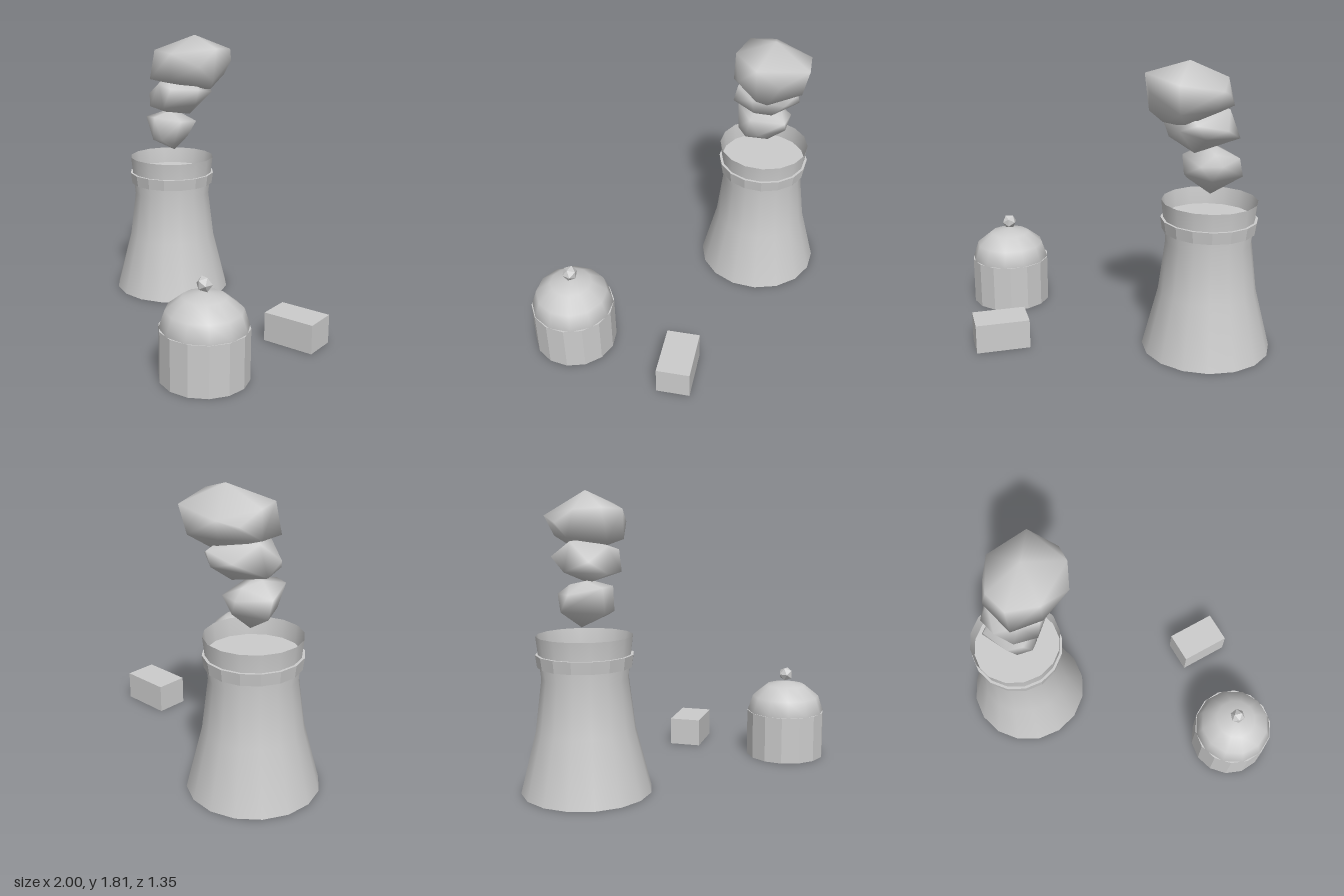
import * as THREE from 'three';
import { mergeVertices } from 'three/addons/utils/BufferGeometryUtils.js';
import { ConvexGeometry } from 'three/addons/geometries/ConvexGeometry.js';

const grey = new THREE.MeshStandardMaterial({ color: 0xcccccc, side: THREE.DoubleSide });
grey.name = 'plainGrey';

// Gives every face its own normal
function faceted(geometry) {
  const flat = geometry.index ? geometry.toNonIndexed() : geometry;
  flat.computeVertexNormals();
  return flat;
}

// Smooth-shaded convex lump spanned by a few corner points
function lump(points) {
  const hull = new ConvexGeometry(points.map((p) => new THREE.Vector3(...p)));
  hull.deleteAttribute('normal');
  const geometry = mergeVertices(hull, 1e-4);
  geometry.computeVertexNormals();
  return geometry;
}

function add(parent, name, geometry, x = 0, y = 0, z = 0) {
  const mesh = new THREE.Mesh(geometry, grey);
  mesh.name = name;
  mesh.position.set(x, y, z);
  parent.add(mesh);
  return mesh;
}

export function createModel() {
  const model = new THREE.Group();
  model.name = 'coolingPlant';

  // Cooling tower: open flared shell with a solid collar that closes its throat
  const tower = new THREE.Group();
  tower.name = 'coolingTower';
  tower.position.set(-0.6, 0, -0.278);
  model.add(tower);
  const profile = [[0.4, 0], [0.303, 0.38], [0.263, 0.7], [0.292, 0.955]];
  add(tower, 'towerShell', new THREE.LatheGeometry(profile.map((p) => new THREE.Vector2(...p)), 16));
  add(tower, 'towerCollar', faceted(new THREE.CylinderGeometry(0.296, 0.286, 0.075, 16)), 0, 0.8075, 0);

  // Domed building
  const reactor = new THREE.Group();
  reactor.name = 'domedBuilding';
  reactor.position.set(0.737, 0, 0.413);
  model.add(reactor);
  const drum = add(reactor, 'drum', faceted(new THREE.CylinderGeometry(0.263, 0.263, 0.31, 14)), 0, 0.155, 0);
  drum.rotation.y = 0.14;
  const dome = add(reactor, 'dome',
    new THREE.SphereGeometry(0.26, 12, 3, 0, Math.PI * 2, 0, Math.PI / 2), 0, 0.308, 0);
  dome.scale.y = 0.8;
  add(reactor, 'domeKnob', new THREE.IcosahedronGeometry(0.049, 0), 0, 0.562, 0);

  // Small block building
  const block = add(model, 'blockBuilding', new THREE.BoxGeometry(0.335, 0.185, 0.21), 0.69, 0.0925, -0.33);
  block.rotation.y = 0.3;

  // Rising steam puffs, smallest first
  const steam = new THREE.Group();
  steam.name = 'steam';
  model.add(steam);
  add(steam, 'lowerPuff', lump([
    [-0.6, 1.0, -0.3], [-0.63, 1.28, -0.24], [-0.575, 1.285, -0.25],
    [-0.79, 1.11, -0.3], [-0.773, 1.21, -0.26], [-0.43, 1.227, -0.24],
    [-0.44, 1.12, -0.3], [-0.463, 1.07, -0.2], [-0.65, 1.25, -0.1],
    [-0.55, 1.255, -0.1], [-0.6, 1.09, -0.123], [-0.5, 1.1, -0.13],
    [-0.62, 1.255, -0.368], [-0.66, 1.2, -0.43], [-0.53, 1.2, -0.44], [-0.6, 1.106, -0.42],
  ]));
  add(steam, 'middlePuff', lump([
    [-0.767, 1.34, -0.29], [-0.7, 1.515, -0.3], [-0.6, 1.53, -0.25], [-0.45, 1.52, -0.35],
    [-0.307, 1.457, -0.3], [-0.345, 1.35, -0.3], [-0.495, 1.265, -0.36],
    [-0.59, 1.275, -0.23], [-0.6, 1.327, -0.1], [-0.45, 1.33, -0.11],
    [-0.55, 1.486, -0.137], [-0.42, 1.46, -0.15], [-0.5, 1.46, -0.52],
    [-0.55, 1.38, -0.52], [-0.68, 1.42, -0.46], [-0.4, 1.42, -0.48], [-0.7, 1.4, -0.16],
  ]));
  add(steam, 'upperPuff', lump([
    [-0.725, 1.537, -0.3], [-0.687, 1.7, -0.28], [-0.69, 1.62, -0.42],
    [-0.644, 1.66, -0.54], [-0.388, 1.707, -0.627], [-0.457, 1.81, -0.373],
    [-0.2, 1.735, -0.364], [-0.22, 1.62, -0.24], [-0.227, 1.516, -0.36],
    [-0.227, 1.65, -0.51], [-0.4, 1.534, -0.584], [-0.307, 1.457, -0.4],
    [-0.44, 1.435, -0.43], [-0.44, 1.465, -0.28], [-0.4, 1.7, -0.137],
    [-0.6, 1.71, -0.14], [-0.6, 1.514, -0.1], [-0.4, 1.52, -0.13], [-0.6, 1.54, -0.5],
  ]));
  return model;
}
